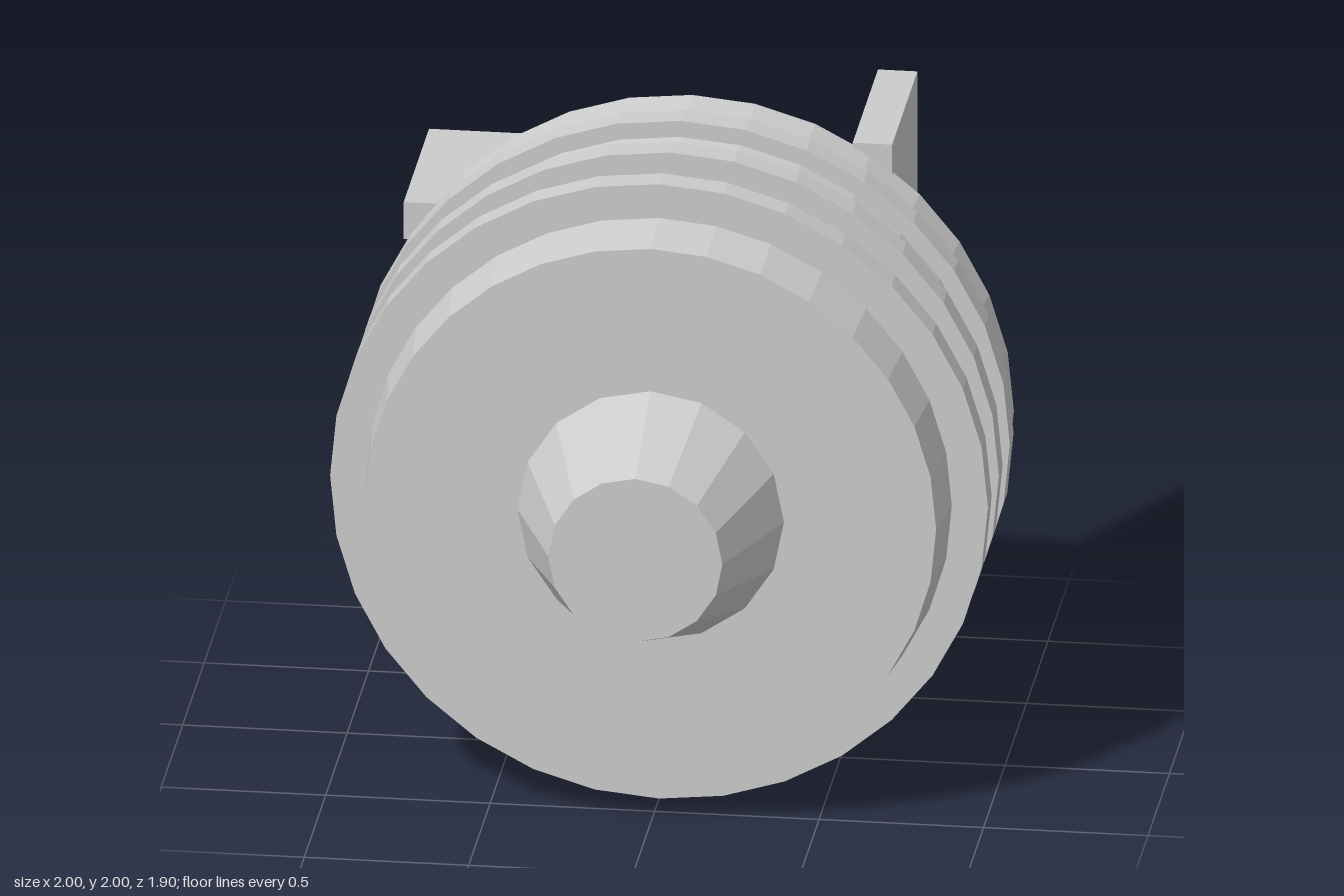
import * as THREE from 'three';

export function createModel() {
  const model = new THREE.Group();
  model.name = 'plug';
  const grey = new THREE.MeshStandardMaterial({ color: 0xcccccc });
  grey.name = 'light grey';
  grey.flatShading = true;

  const add = (name, geometry, x, y, z) => {
    const mesh = new THREE.Mesh(geometry, grey);
    mesh.name = name;
    mesh.position.set(x, y, z);
    model.add(mesh);
  };

  // Round part along z, from its front end to its back end
  const round = (name, rFront, rBack, zFront, zBack, sides, y = 1) => {
    const geometry = new THREE.CylinderGeometry(rFront, rBack, zFront - zBack, sides);
    geometry.rotateX(Math.PI / 2);
    add(name, geometry, 0, y, (zFront + zBack) / 2);
  };

  // Tapered body, grip rings and cable collar
  round('body', 0.868, 0.978, 0.592, -0.377, 32);
  [0.353, 0.098, -0.157].forEach((z, i) =>
    round(`gripRing${i + 1}`, 1, 1, z + 0.044, z - 0.044, 32));
  round('cableCollar', 0.265, 0.405, 0.952, 0.592, 16);

  // Earth pin and two flat blades, one lying and one upright
  round('earthPin', 0.132, 0.132, -0.37, -0.95, 16, 0.545);
  add('rightBlade', new THREE.BoxGeometry(0.65, 0.12, 0.59), -0.55, 1.53, -0.655);
  add('leftBlade', new THREE.BoxGeometry(0.12, 0.65, 0.59), 0.55, 1.53, -0.655);

  return model;
}
